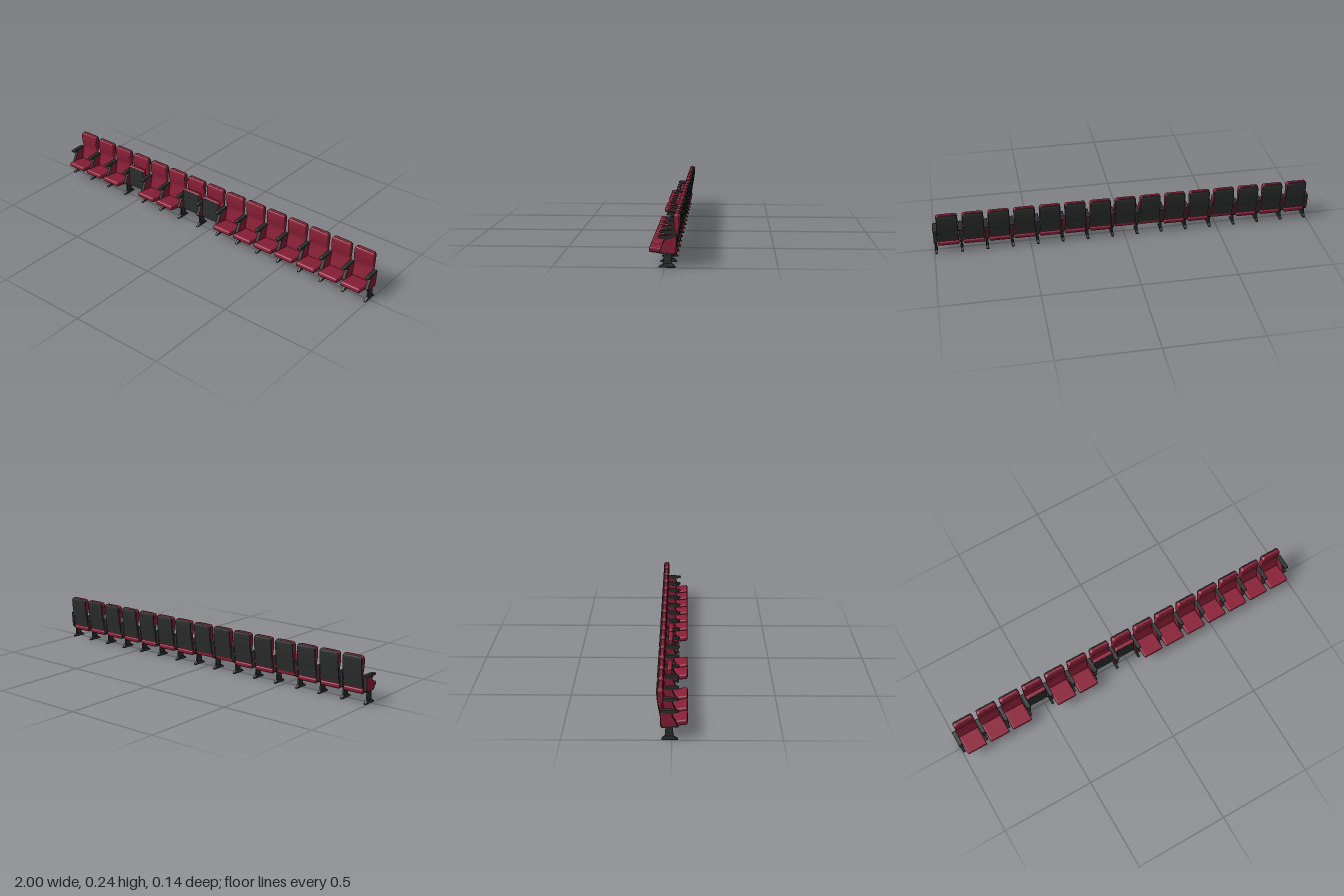
import * as THREE from 'three';
import { RoundedBoxGeometry } from 'three/addons/geometries/RoundedBoxGeometry.js';

const PITCH = 0.132, SEATS = 15, FOLDED = [3, 6, 7];

const red = new THREE.MeshStandardMaterial({ color: 0x8a1f37 });
red.name = 'red upholstery';
const dark = new THREE.MeshStandardMaterial({ color: 0x2c2e2e });
dark.name = 'dark plastic';

// Side profile given as [z, y] points, extruded to a width across x
function sideExtrude(points, width, bevel = 0) {
  const shape = new THREE.Shape(points.map(([z, y]) => new THREE.Vector2(z, y)));
  const depth = width - 2 * bevel;
  const geo = new THREE.ExtrudeGeometry(shape, {
    depth, bevelEnabled: bevel > 0, bevelSize: bevel, bevelThickness: bevel,
    bevelOffset: -bevel, bevelSegments: 2,
  });
  return geo.translate(0, 0, -depth / 2).rotateY(-Math.PI / 2);
}

// Upright loft of rounded rectangles; rows are [y, halfWidth, zFront, zBack]
function loft(rows, radius) {
  const pos = [], idx = [], steps = 4, n = 4 * (steps + 1);
  const ring = ([y, hw, zf, zb]) => {
    const hz = (zf - zb) / 2, zc = (zf + zb) / 2, r = Math.min(radius, hz * 0.95);
    for (let c = 0; c < 4; c++) {
      const sx = c === 0 || c === 3 ? 1 : -1, sz = c < 2 ? 1 : -1;
      for (let s = 0; s <= steps; s++) {
        const a = (c + s / steps) * Math.PI / 2;
        pos.push(sx * (hw - r) + r * Math.cos(a), y, zc + sz * (hz - r) + r * Math.sin(a));
      }
    }
  };
  rows.forEach(ring);
  for (let j = 0; j < rows.length - 1; j++) {
    for (let i = 0; i < n; i++) {
      const a = j * n + i, b = j * n + (i + 1) % n;
      idx.push(a, a + n, b, b, a + n, b + n);
    }
  }
  // End caps with their own vertices
  [rows[0], rows[rows.length - 1]].forEach((row, k) => {
    const start = pos.length / 3;
    ring(row);
    for (let i = 1; i < n - 1; i++) {
      if (k) idx.push(start, start + i + 1, start + i);
      else idx.push(start, start + i, start + i + 1);
    }
  });
  const geo = new THREE.BufferGeometry();
  geo.setAttribute('position', new THREE.Float32BufferAttribute(pos, 3));
  geo.setIndex(idx);
  geo.computeVertexNormals();
  return geo;
}

function add(parent, name, geo, material) {
  const mesh = new THREE.Mesh(geo, material);
  mesh.name = name;
  parent.add(mesh);
  return mesh;
}

// Backrest cushion and its rear shell
const cushionGeo = loft([
  [0.062, 0.052, -0.033, -0.046], [0.068, 0.055, -0.031, -0.047],
  [0.1, 0.055, -0.036, -0.051], [0.145, 0.055, -0.046, -0.057],
  [0.163, 0.055, -0.044, -0.06], [0.18, 0.055, -0.04, -0.063],
  [0.2, 0.055, -0.038, -0.064], [0.225, 0.055, -0.039, -0.063],
  [0.233, 0.053, -0.04, -0.062], [0.238, 0.049, -0.042, -0.061],
  [0.24, 0.043, -0.045, -0.059],
], 0.005);
const shellGeo = loft([
  [0.08, 0.048, -0.046, -0.05], [0.085, 0.053, -0.046, -0.051],
  [0.115, 0.054, -0.049, -0.055], [0.145, 0.054, -0.054, -0.061],
  [0.165, 0.054, -0.056, -0.064], [0.185, 0.054, -0.058, -0.067],
  [0.21, 0.054, -0.06, -0.069], [0.226, 0.0535, -0.06, -0.07],
  [0.233, 0.05, -0.06, -0.069], [0.237, 0.044, -0.06, -0.067],
], 0.004);

// Seat pad and the pan beneath it
const seatGeo = new RoundedBoxGeometry(0.11, 0.024, 0.126, 3, 0.008);
const panGeo = new RoundedBoxGeometry(0.106, 0.005, 0.118, 2, 0.002);

// Divider pieces between seats
const panelGeo = sideExtrude([
  [0.004, 0.14], [0.002, 0.122], [0.024, 0.075], [0.024, 0.069], [0.013, 0.062],
  [-0.043, 0.059], [-0.049, 0.066], [-0.055, 0.14],
], 0.016, 0.001);
const padGeo = sideExtrude([
  [0, 0.139], [-0.001, 0.122], [0.021, 0.076], [0.018, 0.07],
  [-0.04, 0.066], [-0.046, 0.071], [-0.052, 0.139],
], 0.019, 0.001);
const armGeo = sideExtrude([
  [0.031, 0.138], [0.029, 0.143], [0.022, 0.146], [-0.048, 0.148], [-0.054, 0.145],
  [-0.054, 0.137], [0, 0.126], [0.007, 0.132], [0.028, 0.134],
], 0.021, 0.002);
const legGeo = sideExtrude([
  [0.005, 0.064], [0.007, 0.018], [0.012, 0.012], [-0.036, 0.012], [-0.032, 0.018], [-0.028, 0.064],
], 0.009, 0.001);
const footGeo = sideExtrude([
  [0.028, 0], [0.028, 0.005], [0.009, 0.018], [-0.033, 0.018], [-0.047, 0.006], [-0.047, 0],
], 0.014, 0.002);

function makeSeat(folded) {
  const seat = new THREE.Group();
  seat.name = folded ? 'foldedSeat' : 'openSeat';
  add(seat, 'backCushion', cushionGeo, red);
  add(seat, 'backShell', shellGeo, dark);
  const base = new THREE.Group();
  base.name = 'seatBase';
  add(base, 'seatCushion', seatGeo, red);
  add(base, 'seatPan', panGeo, dark).position.y = -0.0105;
  if (folded) {
    base.position.set(0, 0.117, -0.016);
    base.rotation.x = -Math.PI / 2;
  } else {
    base.position.set(0, 0.0715, 0.009);
    base.rotation.x = -0.147;
  }
  seat.add(base);
  return seat;
}

function makeDivider() {
  const divider = new THREE.Group();
  divider.name = 'divider';
  add(divider, 'sidePanel', panelGeo, dark);
  add(divider, 'sidePad', padGeo, red);
  add(divider, 'armrest', armGeo, dark);
  add(divider, 'leg', legGeo, dark);
  add(divider, 'foot', footGeo, dark);
  return divider;
}

export function createModel() {
  const row = new THREE.Group();
  row.name = 'seatRow';
  for (let i = 0; i < SEATS; i++) {
    const seat = makeSeat(FOLDED.includes(i));
    seat.position.x = (i - (SEATS - 1) / 2) * PITCH;
    row.add(seat);
  }
  for (let i = 0; i <= SEATS; i++) {
    const divider = makeDivider();
    divider.position.x = (i - SEATS / 2) * PITCH;
    row.add(divider);
  }
  return row;
}
